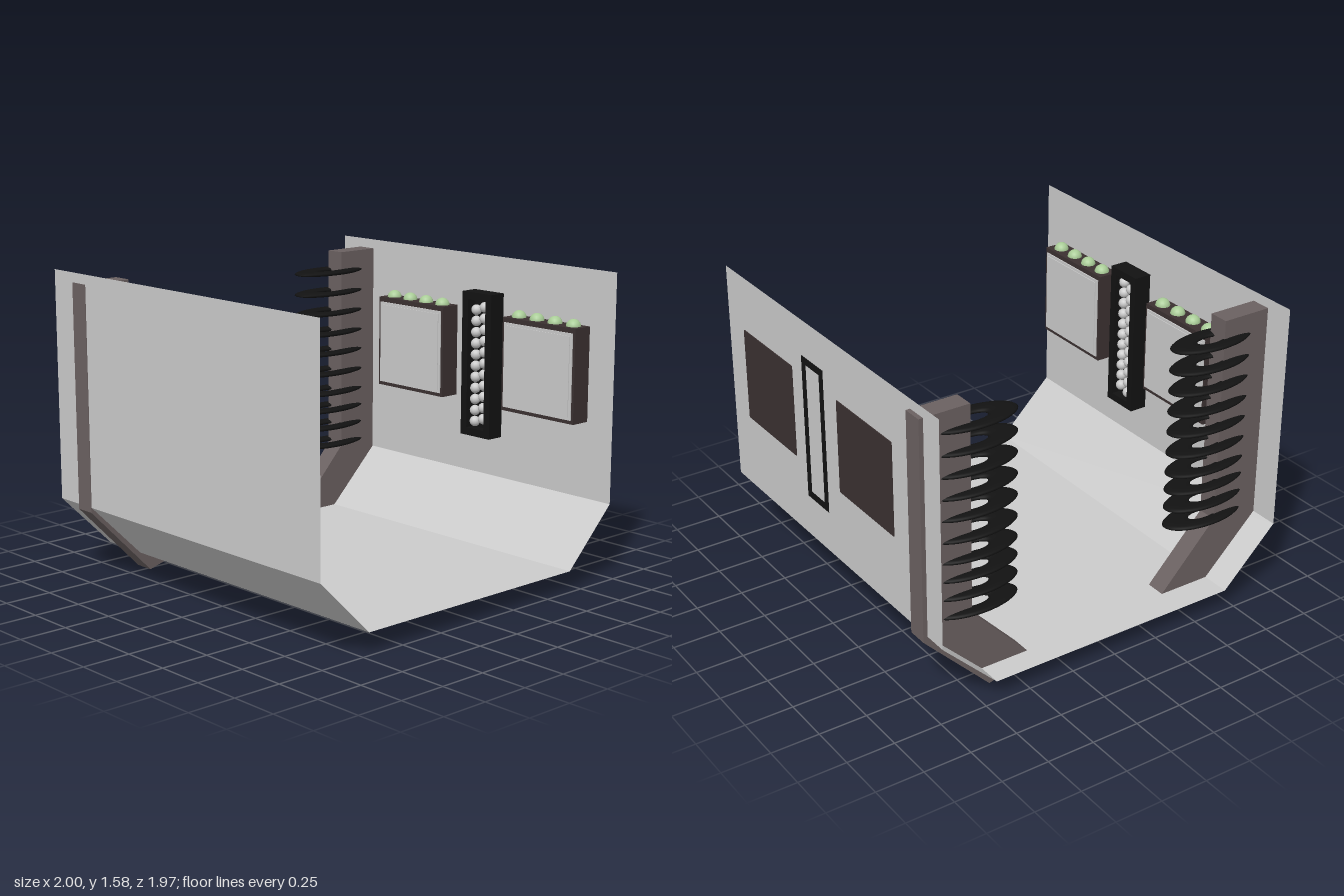
import * as THREE from 'three';

const mat = (color, extra = {}) => new THREE.MeshStandardMaterial({ color, ...extra });
const grey = mat(0xcccccc);
const shellMat = mat(0xcccccc, { side: THREE.DoubleSide, flatShading: true });
const postMat = mat(0x6b6161);
const caseMat = mat(0x3b3131);
const blackMat = mat(0x121212);
const greenMat = mat(0xa9cc97);

function add(parent, name, geometry, material, x = 0, y = 0, z = 0) {
  const m = new THREE.Mesh(geometry, material);
  m.name = name;
  m.position.set(x, y, z);
  parent.add(m);
  return m;
}

// Box given by its ranges
function addBox(parent, name, material, [x0, x1], [y0, y1], [z0, z1]) {
  return add(parent, name, new THREE.BoxGeometry(Math.abs(x1 - x0), y1 - y0, z1 - z0), material,
    (x0 + x1) / 2, (y0 + y1) / 2, (z0 + z1) / 2);
}

// Thin folded trough: walls, sloped sides and floor
function shellGeometry() {
  const p = [[-0.995, 1.58], [-0.995, 0.4], [-0.7, 0.108], [0.68, 0.108], [0.975, 0.4], [0.975, 1.58]];
  const d = 0.985, v = [];
  for (let i = 0; i < p.length - 1; i++) {
    const [ax, ay] = p[i], [bx, by] = p[i + 1];
    v.push(ax, ay, -d, ax, ay, d, bx, by, d, ax, ay, -d, bx, by, d, bx, by, -d);
  }
  const g = new THREE.BufferGeometry();
  g.setAttribute('position', new THREE.Float32BufferAttribute(v, 3));
  g.computeVertexNormals();
  return g;
}

// Upright rib whose foot bends inward under the floor
function postGeometry(s) {
  const pts = [[0.998, 1.53], [0.732, 1.53], [0.732, 0.44], [0.388, 0.075], [0.637, 0.005], [0.998, 0.375]];
  const shape = new THREE.Shape(pts.map(([x, y]) => new THREE.Vector2(s * x, y)));
  return new THREE.ExtrudeGeometry(shape, { depth: 0.105, bevelEnabled: false });
}

// Cased screen with a row of green domes on top
function addScreen(parent, s, outer, inner, z0) {
  const g = new THREE.Group();
  g.name = 'screenUnit';
  parent.add(g);
  addBox(g, 'screenCase', caseMat, [outer, inner], [0.8, 1.29], [z0, z0 + 0.49]);
  addBox(g, 'screenFrame', grey, [inner, inner - s * 0.006], [0.82, 1.265], [z0 + 0.015, z0 + 0.475]);
  addBox(g, 'screenPanel', grey, [inner, inner - s * 0.01], [0.835, 1.25], [z0 + 0.03, z0 + 0.46]);
  const dome = new THREE.SphereGeometry(0.039, 20, 14);
  for (let i = 0; i < 4; i++) {
    add(g, 'greenDome', dome, greenMat, (outer + inner) / 2, 1.288, z0 + 0.061 + i * 0.122);
  }
}

// Tall black case with two staggered columns of balls in a recess
function addBallRack(parent, s, z) {
  const g = new THREE.Group();
  g.name = 'ballRack';
  parent.add(g);
  const h = 0.385, w = 0.103;
  const frame = new THREE.Shape([[-w, -h], [w, -h], [w, h], [-w, h]].map(a => new THREE.Vector2(...a)));
  const hw = 0.062, hh = 0.345;
  frame.holes.push(new THREE.Path([[-hw, -hh], [-hw, hh], [hw, hh], [hw, -hh]].map(a => new THREE.Vector2(...a))));
  const geo = new THREE.ExtrudeGeometry(frame, { depth: 0.095, bevelEnabled: false });
  geo.rotateY(Math.PI / 2);
  add(g, 'rackFrame', geo, blackMat, s > 0 ? 0.88 : -0.975, 1.005, z);
  addBox(g, 'rackBack', blackMat, [s * 0.935, s * 0.974], [0.65, 1.36], [z - 0.08, z + 0.08]);
  const ball = new THREE.SphereGeometry(0.028, 14, 10);
  for (let col = 0; col < 2; col++) {
    for (let i = 0; i < 11; i++) {
      add(g, 'rackBall', ball, grey, s * 0.912, 0.695 + i * 0.06 + col * 0.02, z + (col ? 0.03 : -0.03));
    }
  }
}

// Stack of flattened oval rings around the post
function addCoil(parent, s, z) {
  const ring = new THREE.TorusGeometry(0.155, 0.078, 14, 48);
  ring.rotateX(Math.PI / 2);
  ring.scale(1, 0.17, 0.45);
  const coil = new THREE.Group();
  coil.name = 'ringStack';
  parent.add(coil);
  for (const y of [0.46, 0.56, 0.658, 0.755, 0.865, 0.978, 1.088, 1.2, 1.31, 1.424]) {
    add(coil, 'ring', ring, blackMat, s * 0.686, y, z);
  }
}

export function createModel() {
  const model = new THREE.Group();
  model.name = 'openChamber';
  add(model, 'shell', shellGeometry(), shellMat);

  const sides = [
    { s: 1, name: 'leftSide', post: -0.857, coil: -0.805, outer: 0.98, inner: 0.865, screens: [-0.587, 0.332], rack: 0.132 },
    { s: -1, name: 'rightSide', post: -0.832, coil: -0.785, outer: -0.992, inner: -0.878, screens: [-0.538, 0.348], rack: 0.152 },
  ];
  for (const d of sides) {
    const side = new THREE.Group();
    side.name = d.name;
    model.add(side);
    add(side, 'post', postGeometry(d.s), postMat, 0, 0, d.post);
    addCoil(side, d.s, d.coil);
    d.screens.forEach(z => addScreen(side, d.s, d.outer, d.inner, z));
    addBallRack(side, d.s, d.rack);
  }
  return model;
}
